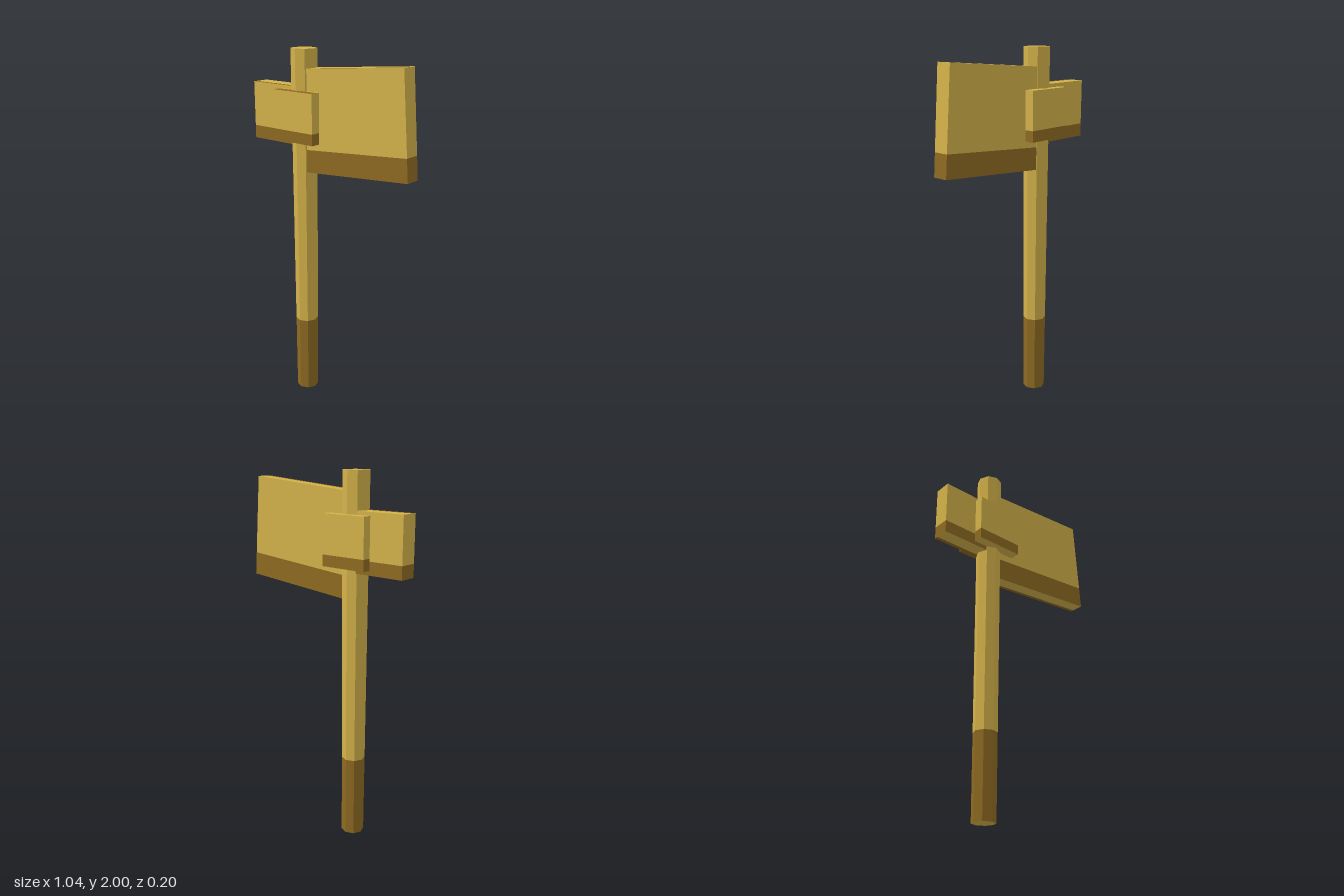
import * as THREE from 'three';

const BAND = 0.225; // share of each face taken by the dark band

export function createModel() {
  const gold = new THREE.MeshStandardMaterial({ color: 0xd4b24a });
  gold.name = 'gold';
  const brown = new THREE.MeshStandardMaterial({ color: 0x8e6a22 });
  brown.name = 'brown';

  const axe = new THREE.Group();
  axe.name = 'axe';

  // Box whose sides are dark at the bottom, top dark at the front, underside dark at the back
  function bandedBox(name, w, h, d, x, y, z) {
    const geo = new THREE.BoxGeometry(w, h, d, 1, 2, 2);
    const { position: p, normal: n, uv } = geo.attributes;
    for (let i = 0; i < p.count; i++) {
      if (Math.abs(uv.getY(i) - 0.5) > 0.01) continue;
      const ny = Math.round(n.getY(i));
      if (ny) p.setZ(i, ny * (0.5 - BAND) * d);
      else p.setY(i, (BAND - 0.5) * h);
    }
    // Sort the triangles into light and dark groups
    const light = [], dark = [];
    const index = geo.index.array;
    for (let i = 0; i < index.length; i += 3) {
      const tri = [index[i], index[i + 1], index[i + 2]];
      const isDark = tri.every((v) => uv.getY(v) < 0.51);
      (isDark ? dark : light).push(...tri);
    }
    geo.setIndex([...light, ...dark]);
    geo.clearGroups();
    geo.addGroup(0, light.length, 0);
    geo.addGroup(light.length, dark.length, 1);

    const mesh = new THREE.Mesh(geo, [gold, brown]);
    mesh.name = name;
    mesh.position.set(x, y, z);
    axe.add(mesh);
    return mesh;
  }

  // Tapered eight-sided handle: dark grip below, light shaft above
  function handlePart(name, rTop, rBottom, y0, y1, sideMaterial) {
    const geo = new THREE.CylinderGeometry(rTop, rBottom, y1 - y0, 8).toNonIndexed();
    geo.computeVertexNormals();
    const mesh = new THREE.Mesh(geo, [sideMaterial, gold, gold]);
    mesh.name = name;
    mesh.position.set(-0.19, (y0 + y1) / 2, 0);
    axe.add(mesh);
  }
  handlePart('handleGrip', 0.0638, 0.062, 0, 0.45, brown);
  handlePart('handleShaft', 0.07, 0.0638, 0.45, 2, gold);

  // Head: socket around the handle, tilted blade, and hammer at the rear
  bandedBox('socket', 0.27, 0.27, 0.196, -0.187, 1.65, 0);
  bandedBox('hammer', 0.32, 0.313, 0.096, -0.362, 1.648, -0.002);
  bandedBox('blade', 0.68, 0.55, 0.087, 0.155, 1.648, -0.002).rotation.z = 0.08;

  return axe;
}
